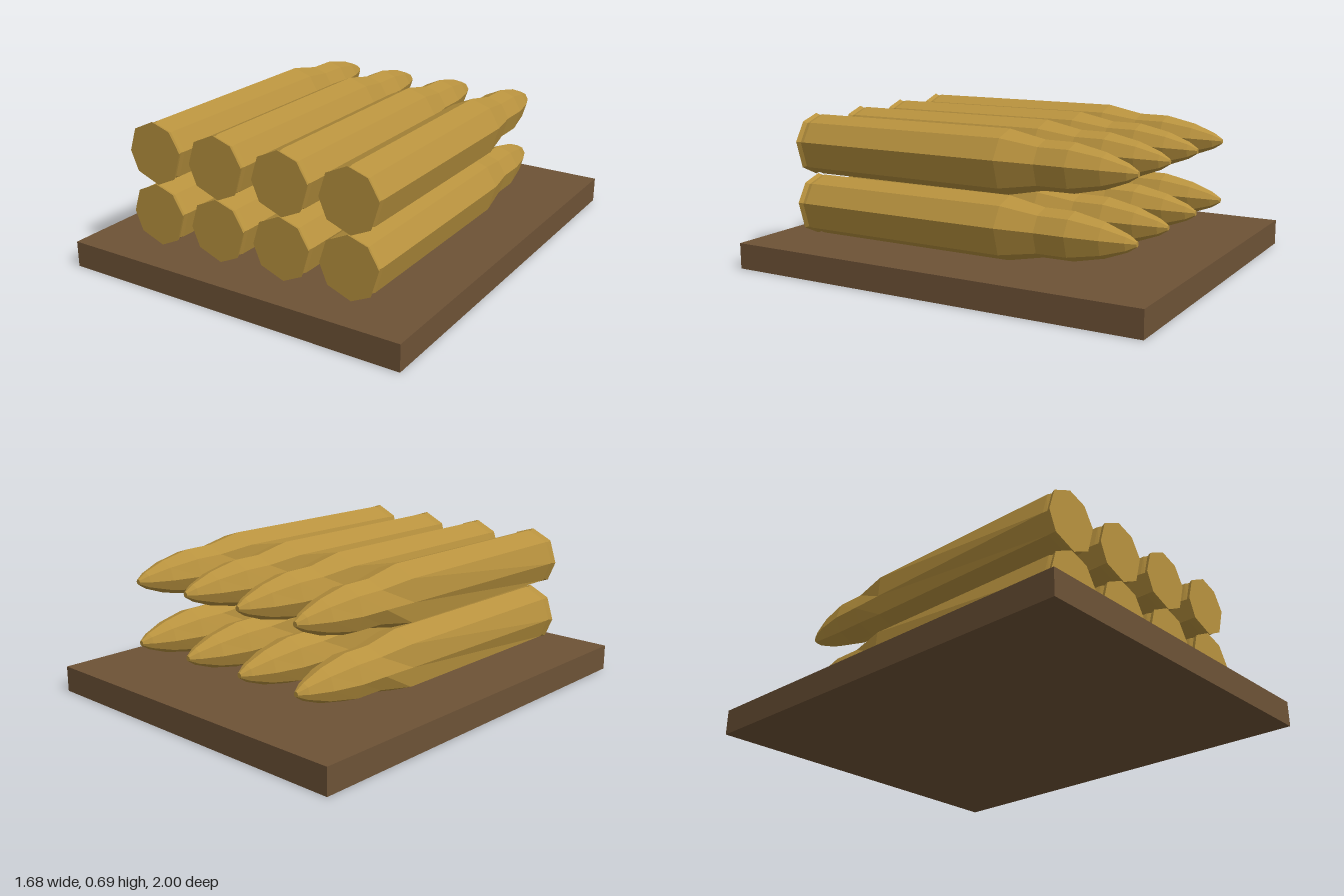
import * as THREE from 'three';

const brass = new THREE.MeshStandardMaterial({ color: 0xb8923e, flatShading: true });
const wood = new THREE.MeshStandardMaterial({ color: 0x6d5236, flatShading: true });

// Uneven eight-sided cross-section, in degrees
const ANGLES = [10, 52, 92, 138, 184, 224, 274, 316];
const SLIM_SIDE = 4; // this side tapers straight from rim to neck

// [z, radius, radius on the slim side] from the base to the tip
const RINGS = [
  [0.82, 0, 0],
  [0.82, 0.143, 0.141],
  [0.80, 0.134, 0.131],
  [0.78, 0.139, 0.134],
  [-0.23, 0.141, 0.114],
  [-0.40, 0.107, 0.108],
  [-0.54, 0.106, 0.105],
  [-0.68, 0.076, 0.076],
  [-0.78, 0.038, 0.038],
  [-0.82, 0.012, 0.012],
  [-0.82, 0, 0],
];

function cartridgeGeometry() {
  const n = ANGLES.length;
  const point = (i, j) => {
    const [z, r, slim] = RINGS[i];
    const radius = j % n === SLIM_SIDE ? slim : r;
    const t = THREE.MathUtils.degToRad(ANGLES[j % n]);
    return [radius * Math.cos(t), radius * Math.sin(t), z];
  };
  const positions = [];
  for (let i = 0; i < RINGS.length - 1; i++) {
    for (let j = 0; j < n; j++) {
      const a = point(i, j), b = point(i, j + 1);
      const c = point(i + 1, j), d = point(i + 1, j + 1);
      if (RINGS[i][1] > 0) positions.push(...a, ...c, ...b);
      if (RINGS[i + 1][1] > 0) positions.push(...b, ...c, ...d);
    }
  }
  const geometry = new THREE.BufferGeometry();
  geometry.setAttribute('position', new THREE.Float32BufferAttribute(positions, 3));
  geometry.computeVertexNormals();
  return geometry;
}

export function createModel() {
  const model = new THREE.Group();
  model.name = 'cartridgeStack';

  // Wooden board
  const board = new THREE.Mesh(new THREE.BoxGeometry(1.68, 0.12, 2), wood);
  board.name = 'board';
  board.position.y = 0.06;
  model.add(board);

  // Two layers of four cartridges, tips to the back
  const geometry = cartridgeGeometry();
  [0.265, 0.551].forEach((y, layer) => {
    const row = new THREE.Group();
    row.name = layer === 0 ? 'lowerRow' : 'upperRow';
    for (let i = 0; i < 4; i++) {
      const cartridge = new THREE.Mesh(geometry, brass);
      cartridge.name = 'cartridge' + (i + 1);
      cartridge.position.set(-0.5 + i * 0.332, y, 0);
      row.add(cartridge);
    }
    model.add(row);
  });

  return model;
}
